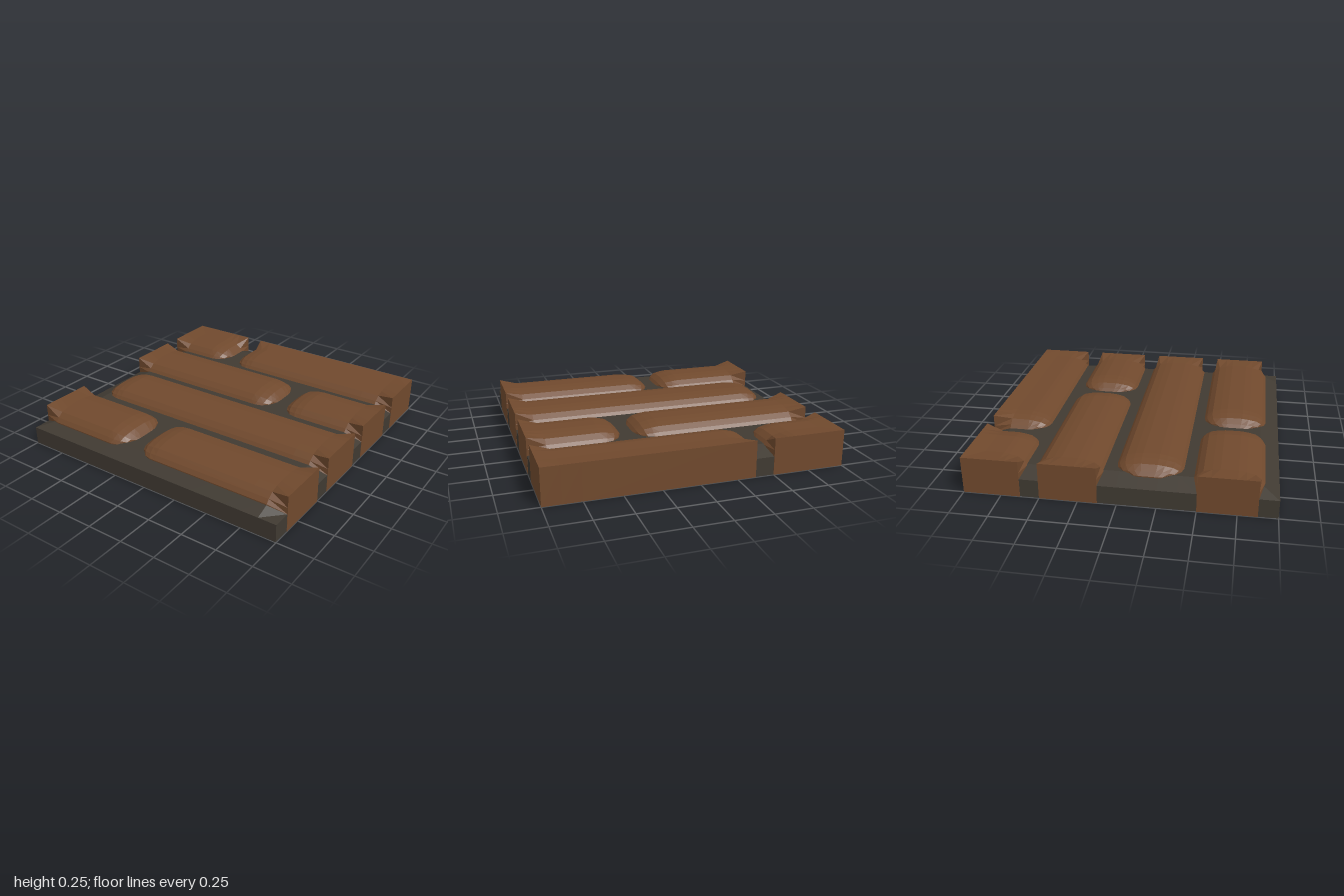
import * as THREE from 'three';

const FLOOR = 0.165, RISE = 0.077, RIM = 0.25;

// Stations across a rounded side: inset, share of the rise, height where it meets the tile rim
const ROUNDED = [[0, 0, 0.125], [0.022, 0.34, 0.17], [0.06, 0.72, RIM], [0.115, 0.9, RIM], [0.165, 1, RIM]];
const CORNER = [0.1, 0.04, 0.012, 0, 0]; // narrowing of the outline near a rounded side

// One side of a plank. dir is +1 for the low side, -1 for the high side.
// A cut side runs straight to the tile rim; a rounded side slopes into the mortar.
function side(edge, rim, dir) {
  if (Math.abs(edge) === 1) {
    return [0, 0.125, 0.25].map((d, i) => ({
      p: edge + dir * d, n: edge + dir * d, g: 1, cut: i === 0, rimY: RIM, shrink: 0, shift: 0,
    }));
  }
  return ROUNDED.map(([d, g, rimY], i) => ({
    p: edge + dir * d, n: i < 3 ? rim : edge + dir * d, g, cut: false, rimY,
    shrink: CORNER[i], shift: dir * (1 - d / 0.2),
  }));
}

function stations([lo, hi, rimLo, rimHi]) {
  return [...side(lo, rimLo, 1), ...side(hi, rimHi, -1).reverse()];
}

// Closed plank solid: domed top, outer wall and flat underside
function plankGeometry(xRange, zRange) {
  const cols = stations(xRange), rows = stations(zRange);
  const nx = cols.length, nz = rows.length, count = nx * nz;
  const top = [], bottom = [], index = [];
  for (const r of rows) {
    for (const c of cols) {
      const x = r.cut ? c.n : c.p + c.shift * r.shrink * 0.35;
      const z = c.cut ? r.n : r.p + r.shift * c.shrink;
      let y = FLOOR + RISE * c.g * r.g;
      if (c.cut && r.cut) y = RIM;
      else if (c.cut) y = r.rimY;
      else if (r.cut) y = c.rimY;
      top.push(x, y, z);
      bottom.push(x, 0, z);
    }
  }
  for (let j = 0; j < nz - 1; j++) {
    for (let i = 0; i < nx - 1; i++) {
      const a = j * nx + i, b = a + nx, c = b + 1, d = a + 1;
      index.push(a, b, c, a, c, d);
      index.push(a + count, c + count, b + count, a + count, d + count, c + count);
    }
  }
  const loop = [];
  for (let i = 0; i < nx - 1; i++) loop.push((nz - 1) * nx + i);
  for (let j = nz - 1; j > 0; j--) loop.push(j * nx + nx - 1);
  for (let i = nx - 1; i > 0; i--) loop.push(i);
  for (let j = 0; j < nz - 1; j++) loop.push(j * nx);
  loop.forEach((p, k) => {
    const q = loop[(k + 1) % loop.length];
    index.push(p, p + count, q, p + count, q + count, q);
  });
  const geo = new THREE.BufferGeometry();
  geo.setAttribute('position', new THREE.Float32BufferAttribute([...top, ...bottom], 3));
  geo.setIndex(index);
  const flat = geo.toNonIndexed();
  flat.computeVertexNormals();
  return flat;
}

// Mortar slab whose top dips towards the tile rim
function mortarGeometry() {
  const geo = new THREE.BoxGeometry(2, 1, 2, 16, 1, 16);
  const pos = geo.attributes.position;
  for (let i = 0; i < pos.count; i++) {
    const x = pos.getX(i), z = pos.getZ(i);
    const atRim = Math.max(Math.abs(x), Math.abs(z)) > 0.99;
    const y = pos.getY(i) < 0 ? 0.002 : atRim ? 0.125 : 0.17;
    pos.setXYZ(i, x * 0.998, y, z < 0 ? z * 0.998 : z);
  }
  const flat = geo.toNonIndexed();
  flat.computeVertexNormals();
  return flat;
}

export function createModel() {
  const model = new THREE.Group();
  model.name = 'floorTile';
  const brown = new THREE.MeshStandardMaterial({ color: 0x70492d });
  brown.name = 'plankBrown';
  const grey = new THREE.MeshStandardMaterial({ color: 0x403a32 });
  grey.name = 'mortarGrey';
  brown.flatShading = grey.flatShading = true;

  const mortar = new THREE.Mesh(mortarGeometry(), grey);
  mortar.name = 'mortar';
  model.add(mortar);

  // Each course: depth range, then the planks in it (edges, then edges at the rim)
  const courses = [
    { z: [-1, -0.6, -1, -0.625], planks: [[-1, -0.48, -1, -0.5], [-0.4, 1, -0.375, 1]] },
    { z: [-0.537, -0.1, -0.5, -0.125], planks: [[-1, 0.27, -1, 0.27], [0.35, 1, 0.35, 1]] },
    { z: [-0.035, 0.405, 0, 0.375], planks: [[-0.905, 1, -0.905, 1]] },
    { z: [0.467, 0.908, 0.5, 0.875], planks: [[-1, -0.23, -1, -0.23], [-0.15, 1, -0.15, 1]] },
  ];
  courses.forEach(({ z, planks }, c) => {
    planks.forEach((x, k) => {
      const plank = new THREE.Mesh(plankGeometry(x, z), brown);
      plank.name = `plank${c + 1}_${k + 1}`;
      model.add(plank);
    });
  });
  return model;
}
